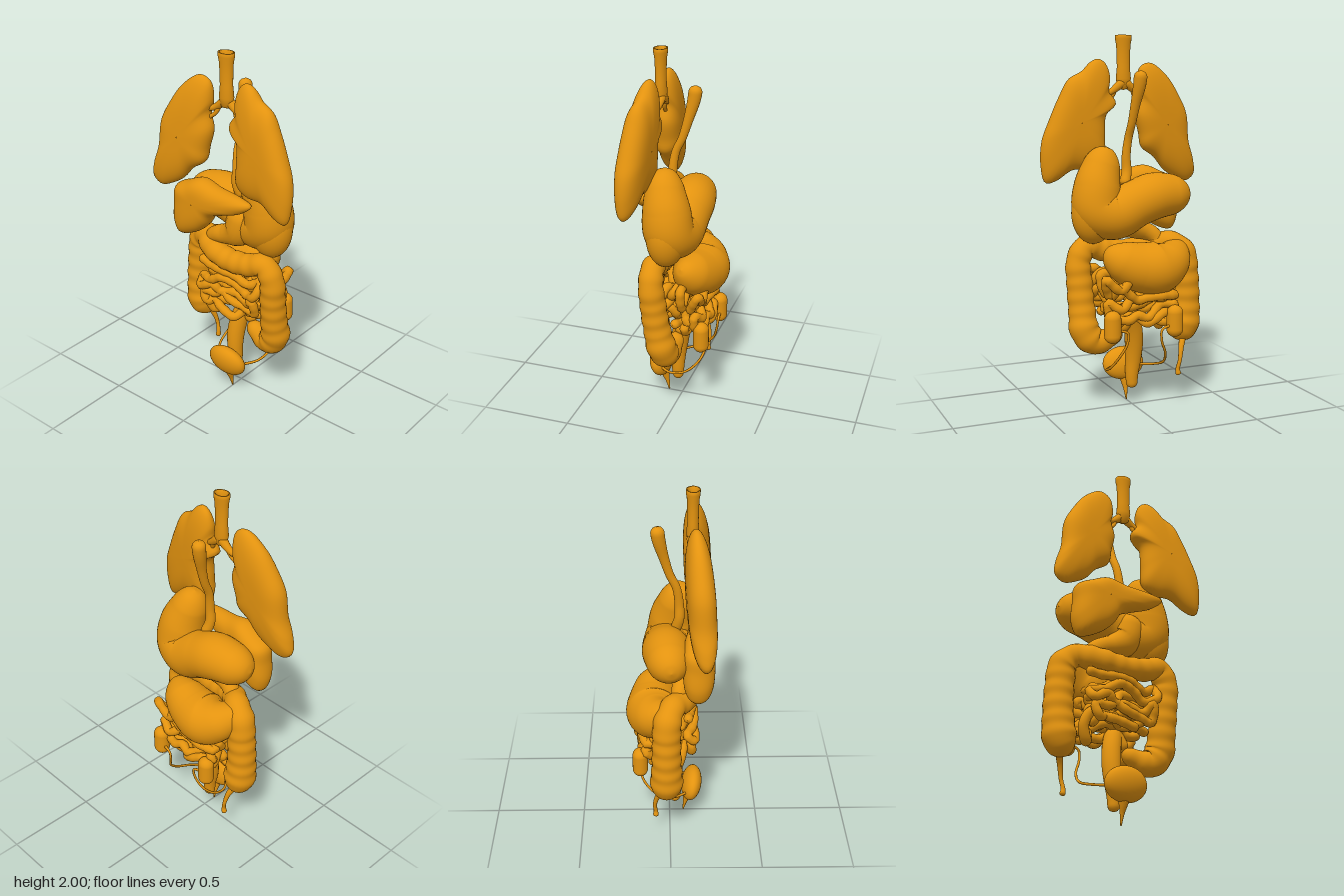
import * as THREE from 'three';

const flesh = new THREE.MeshStandardMaterial({ color: 0xe3930f, side: THREE.DoubleSide });
flesh.name = 'amber';

// Smooth closed skin: rows of rings, each ring wrapping round on itself
function skin(rows, cols, at) {
  const pos = [], idx = [];
  for (let i = 0; i <= rows; i++)
    for (let j = 0; j < cols; j++) {
      const p = at(i, j);
      pos.push(p.x, p.y, p.z);
      if (i < rows) {
        const a = i * cols + j, b = i * cols + (j + 1) % cols;
        idx.push(a, b, a + cols, b, b + cols, a + cols);
      }
    }
  const g = new THREE.BufferGeometry();
  g.setAttribute('position', new THREE.Float32BufferAttribute(pos, 3));
  g.setIndex(idx);
  g.computeVertexNormals();
  return g;
}

// Round-ended tube through [x, y, z, radius] points, with optional bulges
function organTube(pts, { seg = 64, sides = 20, bulges = 0, depth = 0.05 } = {}) {
  const curve = new THREE.CatmullRomCurve3(pts.map(p => new THREE.Vector3(p[0], p[1], p[2])));
  curve.arcLengthDivisions = 600;
  const radii = new THREE.SplineCurve(pts.map((p, i) => new THREE.Vector2(i, p[3])));
  const len = curve.getLength();
  const frames = curve.computeFrenetFrames(seg);
  const rings = [];
  for (let i = 0; i <= seg; i++) {
    const u = i / seg;
    let r = radii.getPoint(curve.getUtoTmapping(u)).y;
    const d = Math.min(u, 1 - u) * len;
    if (d < r) r *= Math.max(0.01, Math.sqrt(1 - (1 - d / r) ** 2));
    r *= 1 - depth * Math.cos(u * bulges * Math.PI * 2) * Math.sign(bulges);
    rings.push({ c: curve.getPointAt(u), r });
  }
  return skin(seg, sides, (i, j) => {
    const a = j / sides * Math.PI * 2, { c, r } = rings[i];
    return c.clone().addScaledVector(frames.normals[i], r * Math.cos(a))
      .addScaledVector(frames.binormals[i], r * Math.sin(a));
  });
}

// Rounded slab inflated from an outline; zMid and half give its depth at (x, y)
function pillow(outline, cx, cy, zMid, half) {
  const cols = 90, rows = 36;
  const pts = outline.map(p => new THREE.Vector2(p[0], p[1]));
  if (THREE.ShapeUtils.area(pts) < 0) pts.reverse();
  const rim = new THREE.CatmullRomCurve3(pts.map(p => new THREE.Vector3(p.x, p.y, 0)), true).getSpacedPoints(cols);
  return skin(rows, cols, (i, j) => {
    const a = (i / rows - 0.5) * Math.PI;
    const s = Math.max(0.0001, Math.cos(a)) ** 0.55;
    const x = cx + (rim[j].x - cx) * s, y = cy + (rim[j].y - cy) * s;
    return new THREE.Vector3(x, y, zMid(x, y) + half(x, y) * Math.sin(a));
  });
}

export function createModel() {
  const model = new THREE.Group();
  const add = (name, geo, x = 0, y = 0, z = 0) => {
    const m = new THREE.Mesh(geo, flesh);
    m.name = name;
    m.position.set(x, y, z);
    model.add(m);
    return m;
  };

  // Windpipe, hollow at the top and flattened front to back
  const pipe = [[0.001, 1.71], [0.03, 1.72], [0.042, 1.77], [0.036, 1.83], [0.037, 1.9], [0.04, 1.95],
    [0.046, 1.98], [0.046, 2], [0.037, 2], [0.03, 1.97], [0.03, 1.85], [0.001, 1.84]];
  add('windpipe', new THREE.LatheGeometry(pipe.map(p => new THREE.Vector2(p[0], p[1])), 28), 0, 0, 0.115).scale.z = 0.78;
  for (const s of [-1, 1]) {
    add('bronchus', organTube([[0, 1.76, 0.11, 0.028], [s * 0.04, 1.725, 0.11, 0.022],
      [s * 0.075, 1.7, 0.115, 0.017], [s * 0.13, 1.68, 0.13, 0.014]], { seg: 24, sides: 12 }));
    add('bronchusBranch', organTube([[s * 0.05, 1.71, 0.11, 0.013], [s * 0.07, 1.67, 0.12, 0.011],
      [s * 0.12, 1.63, 0.13, 0.01]], { seg: 16, sides: 10 }));
  }

  // Gullet
  add('gullet', organTube([[-0.025, 1.815, -0.065, 0.036], [-0.02, 1.74, -0.055, 0.034],
    [-0.008, 1.64, -0.03, 0.026], [0, 1.54, 0, 0.022], [0.005, 1.46, 0.035, 0.022],
    [0.012, 1.36, 0.05, 0.024], [0.01, 1.28, 0.05, 0.027], [0.03, 1.2, 0.03, 0.03]]));

  // Lungs
  const rightLung = [[-0.16, 1.855], [-0.1, 1.83], [-0.085, 1.73], [-0.1, 1.67], [-0.08, 1.58], [-0.105, 1.47],
    [-0.12, 1.4], [-0.2, 1.34], [-0.26, 1.27], [-0.32, 1.23], [-0.4, 1.2], [-0.45, 1.235], [-0.445, 1.31],
    [-0.41, 1.42], [-0.39, 1.58], [-0.34, 1.68], [-0.26, 1.79]];
  const leftLung = [[0.1, 1.85], [0.14, 1.875], [0.18, 1.86], [0.23, 1.81], [0.3, 1.77], [0.35, 1.68],
    [0.41, 1.54], [0.445, 1.44], [0.45, 1.31], [0.425, 1.22], [0.37, 1.23], [0.28, 1.285], [0.17, 1.29],
    [0.105, 1.33], [0.1, 1.45], [0.095, 1.58], [0.04, 1.64], [0.08, 1.71], [0.075, 1.78]];
  const lungMid = (x, y) => 0.151 + 0.07 * (Math.abs(x) - 0.27) - 0.045 * (y - 1.52);
  const lungHalf = (x, y) => 0.071 - 0.1 * (y - 1.5) ** 2;
  add('rightLung', pillow(rightLung, -0.25, 1.52, lungMid, lungHalf));
  add('leftLung', pillow(leftLung, 0.25, 1.54, lungMid, lungHalf));

  // Liver, thick on the right and tapering to the left
  const liver = [[-0.32, 1.13], [-0.31, 1.22], [-0.23, 1.265], [-0.14, 1.3], [-0.02, 1.28], [0.13, 1.27],
    [0.205, 1.25], [0.14, 1.19], [0.04, 1.15], [-0.05, 1.11], [-0.09, 1.05], [-0.17, 0.98], [-0.29, 0.94],
    [-0.325, 1.01]];
  add('liver', pillow(liver, -0.15, 1.17, x => 0.15 + 0.06 * (x + 0.2), x => 0.067 - 0.08 * x));

  // Large upper organ: upright lobe bending back into a sideways lobe
  add('stomach', organTube([[0.125, 1.415, 0.05, 0.075], [0.155, 1.32, 0.045, 0.1], [0.19, 1.2, 0.024, 0.126],
    [0.19, 1.09, 0.01, 0.134], [0.11, 1.06, -0.008, 0.136], [-0.01, 1.11, -0.02, 0.126], [-0.11, 1.145, -0.017, 0.127],
    [-0.22, 1.15, -0.008, 0.113], [-0.335, 1.15, 0.005, 0.09]], { seg: 120, sides: 36 }));
  add('stomachBase', new THREE.SphereGeometry(1, 32, 24), 0.215, 1.07, 0.018).scale.set(0.118, 0.165, 0.105);
  add('stomachOutlet', organTube([[0.06, 1.18, 0.04, 0.08], [0.055, 1.08, 0.05, 0.09], [0.03, 1.01, 0.055, 0.085],
    [-0.04, 0.97, 0.06, 0.06], [-0.1, 0.95, 0.06, 0.05], [-0.15, 0.92, 0.05, 0.045], [-0.18, 0.86, 0.03, 0.04]]));

  // Large pear-shaped organ low at the back
  add('rearOrgan', organTube([[0.18, 0.87, -0.05, 0.065], [0.09, 0.82, -0.075, 0.108], [-0.01, 0.78, -0.088, 0.134],
    [-0.11, 0.77, -0.092, 0.142], [-0.19, 0.8, -0.075, 0.115], [-0.245, 0.845, -0.035, 0.08],
    [-0.28, 0.89, 0, 0.055]], { seg: 90, sides: 32 }));

  // Large bowel with soft ringed bulges
  add('largeBowel', organTube([[-0.25, 0.345, -0.02, 0.06], [-0.295, 0.42, -0.02, 0.088], [-0.31, 0.56, -0.02, 0.08],
    [-0.305, 0.72, -0.02, 0.076], [-0.29, 0.83, -0.015, 0.075], [-0.23, 0.88, 0.015, 0.066],
    [-0.13, 0.86, 0.08, 0.064], [0, 0.84, 0.1, 0.062], [0.13, 0.855, 0.1, 0.062], [0.23, 0.88, 0.09, 0.062],
    [0.275, 0.81, 0.085, 0.066], [0.275, 0.68, 0.072, 0.07], [0.27, 0.54, 0.053, 0.073],
    [0.262, 0.43, 0.03, 0.08], [0.21, 0.37, 0.02, 0.072], [0.13, 0.385, 0.01, 0.054],
    [0.06, 0.42, 0, 0.035]], { seg: 300, sides: 24, bulges: 23, depth: 0.03 }));
  add('rectum', organTube([[0.08, 0.42, -0.01, 0.035], [0.02, 0.5, -0.02, 0.045], [-0.005, 0.44, 0, 0.05],
    [-0.02, 0.34, 0.02, 0.05], [-0.02, 0.25, 0.03, 0.045], [-0.012, 0.16, 0.03, 0.036],
    [-0.012, 0.08, 0.03, 0.03]]));
  add('appendix', organTube([[-0.29, 0.37, -0.04, 0.02], [-0.265, 0.31, -0.07, 0.015], [-0.25, 0.24, -0.085, 0.011],
    [-0.24, 0.19, -0.08, 0.012], [-0.245, 0.155, -0.08, 0.018]], { seg: 40, sides: 12 }));

  // Small bowel: irregular winding rows in layers from front to back
  let seed = 7;
  const rand = () => (seed = (seed * 16807) % 2147483647) / 2147483647 - 0.5;
  [0.105, 0.05, -0.01, -0.07, -0.125].forEach((z, layer) => {
    const path = [];
    for (let row = 0; row < 5; row++)
      for (let k = 0; k < 6; k++) {
        const x = (k / 5 - 0.5) * (row % 2 ? -1 : 1) * (0.38 - 0.012 * row);
        path.push([x + rand() * 0.05, 0.75 - row * 0.052 - layer * 0.012 + rand() * 0.08,
          z + rand() * 0.06, 0.025]);
      }
    add('smallBowel', organTube(path, { seg: 260, sides: 10, bulges: 40 }));
  });
  add('smallBowelEnd', organTube([[-0.1, 0.58, 0.08, 0.022], [-0.17, 0.57, 0.07, 0.026], [-0.2, 0.5, 0.05, 0.028],
    [-0.17, 0.43, 0.02, 0.03], [-0.15, 0.5, -0.02, 0.026], [-0.22, 0.48, -0.03, 0.022],
    [-0.27, 0.47, -0.02, 0.022]], { sides: 12 }));

  // Kidneys and their ducts
  for (const s of [-1, 1]) {
    add('kidney', new THREE.CapsuleGeometry(0.042, 0.09, 10, 24), s * 0.18, 0.487, -0.163).scale.x = 1.08;
    add('duct', organTube([[s * 0.16, 0.47, -0.172, 0.008], [s * 0.1, 0.45, -0.178, 0.007],
      [s * 0.1, 0.39, -0.17, 0.007], [s * 0.135, 0.31, -0.14, 0.007], [s * 0.155, 0.24, -0.07, 0.007],
      [s * 0.14, 0.205, 0.02, 0.007], [s * 0.08, 0.19, 0.1, 0.008]], { sides: 8 }));
  }

  // Bladder and outlet
  const bladder = add('bladder', new THREE.SphereGeometry(1, 32, 24), 0, 0.2, 0.125);
  bladder.scale.set(0.12, 0.092, 0.056);
  bladder.rotation.x = 0.25;
  add('bladderOutlet', organTube([[0, 0.14, 0.11, 0.03], [0, 0.1, 0.1, 0.022], [0, 0.06, 0.09, 0.012],
    [0, 0, 0.078, 0.004]], { seg: 32, sides: 14 }));

  return model;
}
